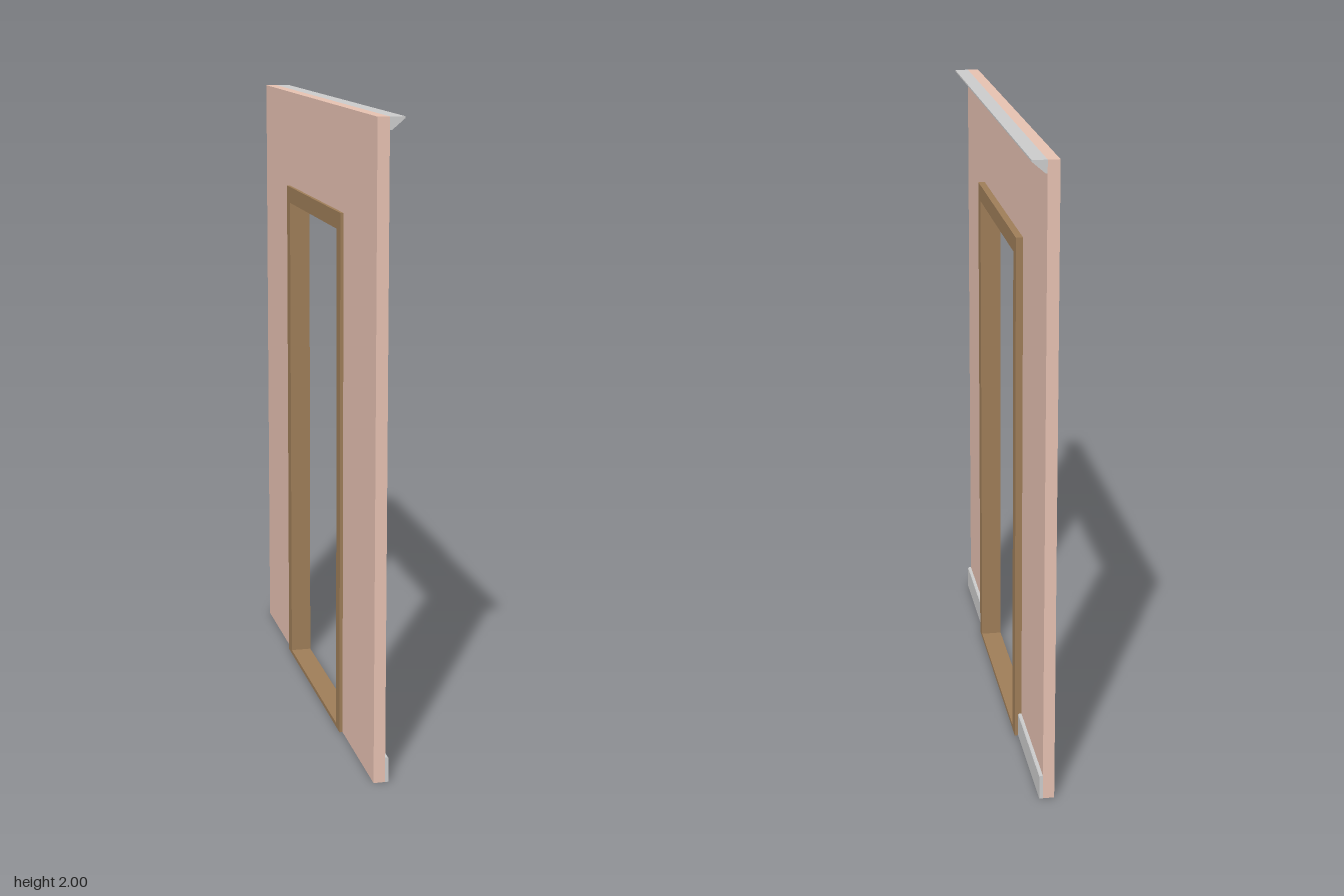
import * as THREE from 'three';

const material = (color) => new THREE.MeshStandardMaterial({ color, flatShading: true });

function shapeFrom(points) {
  return new THREE.Shape(points.map(([a, b]) => new THREE.Vector2(a, b)));
}

// Extrude a (z, y) outline along x, from x0 to x1
function panel(name, shape, x0, x1, mat) {
  const geo = new THREE.ExtrudeGeometry(shape, { depth: x1 - x0, bevelEnabled: false });
  geo.rotateY(Math.PI / 2).translate(x0, 0, 0);
  const mesh = new THREE.Mesh(geo, mat);
  mesh.name = name;
  return mesh;
}

// Run an (x, y) moulding profile along z, from z0 to z1
function moulding(name, points, z0, z1, mat) {
  const geo = new THREE.ExtrudeGeometry(shapeFrom(points), { depth: z1 - z0, bevelEnabled: false });
  geo.translate(0, 0, z0);
  const mesh = new THREE.Mesh(geo, mat);
  mesh.name = name;
  return mesh;
}

export function createModel() {
  const group = new THREE.Group();
  group.name = 'doorwayWall';
  const plaster = material(0xe6c1b1);
  const wood = material(0x9e7d58);
  const trim = material(0xcccccc);

  const halfWidth = 0.8, height = 2, wallBack = -0.036, wallFront = 0;
  const frameHalf = 0.396, frameTop = 1.682, doorHalf = 0.347, doorTop = 1.628;

  // Wall wrapped around the doorway, its cut edge hidden inside the frame
  const cutHalf = 0.37, cutTop = 1.655;
  group.add(panel('wall', shapeFrom([
    [-halfWidth, 0], [-cutHalf, 0], [-cutHalf, cutTop], [cutHalf, cutTop],
    [cutHalf, 0], [halfWidth, 0], [halfWidth, height], [-halfWidth, height],
  ]), wallBack, wallFront, plaster));

  // Door frame with a thin threshold
  const frame = shapeFrom([
    [-frameHalf, 0], [frameHalf, 0], [frameHalf, frameTop], [-frameHalf, frameTop],
  ]);
  frame.holes.push(shapeFrom([
    [-doorHalf, 0.013], [-doorHalf, doorTop], [doorHalf, doorTop], [doorHalf, 0.013],
  ]));
  group.add(panel('doorFrame', frame, -0.046, 0.022, wood));

  // Slanted crown moulding
  group.add(moulding('crownMoulding', [
    [0, 1.962], [0.006, 1.962], [0.045, 1.995], [0.045, height], [0, height],
  ], -halfWidth, halfWidth, trim));

  // Baseboards either side of the door
  const board = [[0, 0], [0.011, 0], [0.011, 0.076], [0.008, 0.079], [0, 0.079]];
  group.add(moulding('leftBaseboard', board, frameHalf, halfWidth, trim));
  group.add(moulding('rightBaseboard', board, -halfWidth, -frameHalf, trim));

  return group;
}
